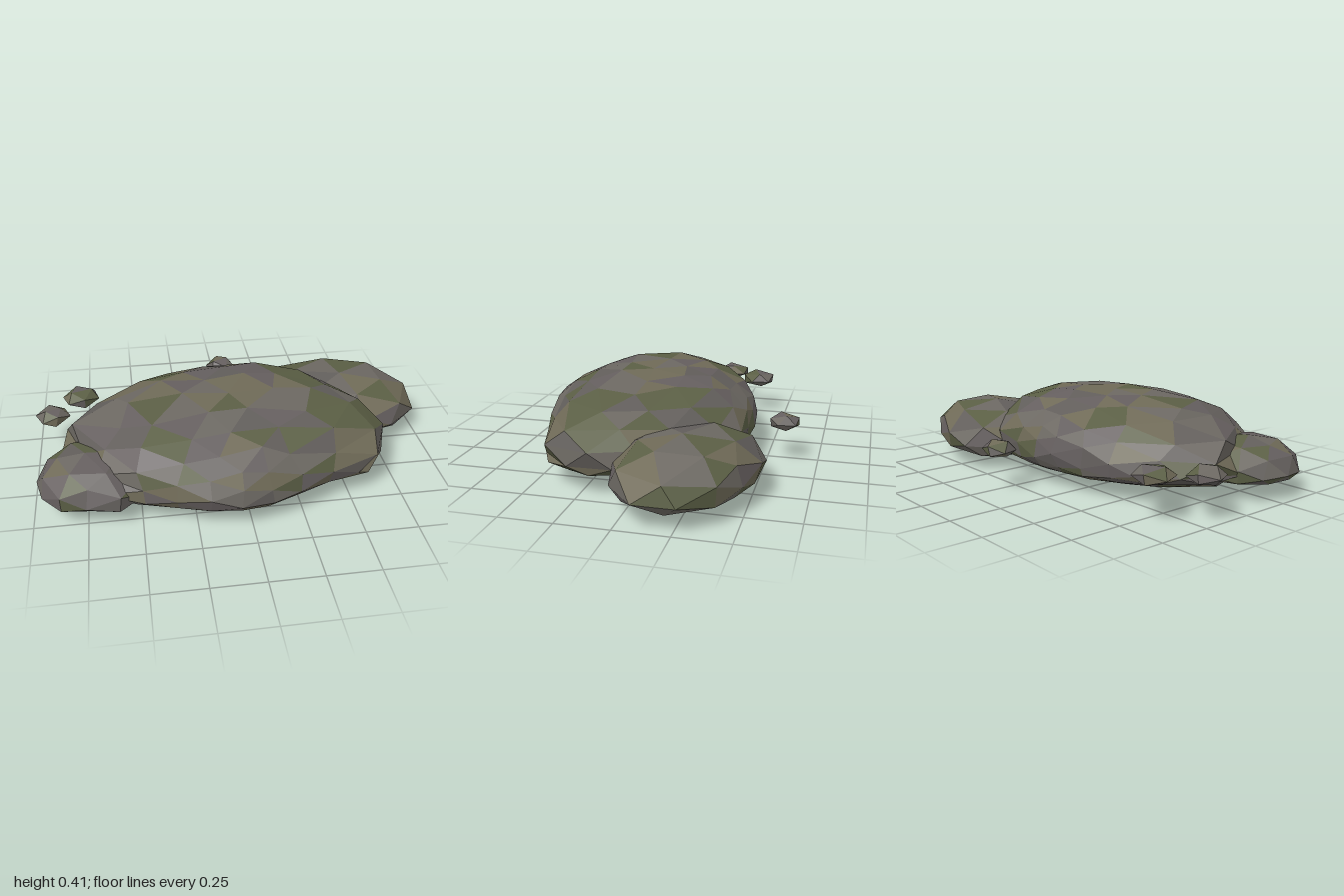
import * as THREE from 'three';

const palette = [0x6c6862, 0x625e5b, 0x655f5f, 0x6f6a57, 0x5b5f45]
  .map(color => new THREE.MeshStandardMaterial({ color, flatShading: true }));

// Repeatable noise in -1..1; equal positions always give equal values.
function noise(x, y, z, seed) {
  const q = v => Math.round(v * 1000) / 1000 + 0;
  const s = Math.sin(q(x) * 127.1 + q(y) * 311.7 + q(z) * 74.7 + seed * 19.19) * 4375.85;
  return 2 * (s - Math.floor(s)) - 1;
}

// Footprint radius at any angle, interpolated between outline points [x, z].
function footprint(outline, cx, cz) {
  const polar = outline
    .map(([x, z]) => ({ a: Math.atan2(z - cz, x - cx), r: Math.hypot(x - cx, z - cz) }))
    .sort((p, q) => p.a - q.a);
  const n = polar.length;
  return angle => {
    let i = polar.findIndex(p => p.a > angle);
    if (i < 0) i = 0;
    const p = polar[(i + n - 1) % n], q = polar[i], turn = 2 * Math.PI;
    const span = (q.a - p.a + turn) % turn;
    const t = ((angle - p.a + turn) % turn) / span;
    return p.r + (q.r - p.r) * t;
  };
}

// Faceted boulder: a sphere moulded to a footprint, a flat crown and a shallow belly.
// crown sets how boxy the top is; lean softens it towards -x and +z; spin turns the facets.
function makeRock(name, { center, outline, low, mid, high, detail, seed, crown, lean = 0, spin = 0, shift, grow }) {
  const [cx, cz] = center;
  const radius = footprint(outline, cx, cz);
  const geo = new THREE.IcosahedronGeometry(1, detail).rotateY(spin);
  geo.deleteAttribute('uv');
  const pos = geo.attributes.position;
  const d = new THREE.Vector3();
  for (let i = 0; i < pos.count; i++) {
    d.fromBufferAttribute(pos, i);
    const { x, y, z } = d;
    d.x += shift * noise(x, y, z, seed);
    d.y += shift * noise(x, y, z, seed + 1);
    d.z += shift * noise(x, y, z, seed + 2);
    d.normalize();
    const h = Math.hypot(d.x, d.z);
    const n = d.y > 0 ? crown - lean * Math.max(-d.x, d.z, 0) : 2;
    const k = Math.pow(Math.pow(h, n) + Math.pow(Math.abs(d.y), n), -1 / n);
    const bump = 1 + 0.02 * noise(x, y, z, seed + 3);
    const angle = Math.atan2(d.z, d.x);
    const r = radius(angle) * h * k * grow * bump;
    const v = d.y * k * (d.y > 0 ? (high - mid) * bump : mid - low);
    pos.setXYZ(i, cx + Math.cos(angle) * r, mid + v, cz + Math.sin(angle) * r);
  }
  geo.computeVertexNormals();
  // Mottled stone and moss tones, one per facet
  for (let i = 0; i < pos.count; i += 3) {
    const t = (noise(pos.getX(i), pos.getY(i + 1), pos.getZ(i + 2), seed + 7) + 1) / 2;
    geo.addGroup(i, 3, Math.min(4, Math.floor(t * 5)));
  }
  const mesh = new THREE.Mesh(geo, palette);
  mesh.name = name;
  return mesh;
}

export function createModel() {
  const group = new THREE.Group();
  group.name = 'rockCluster';

  // Broad central slab, sloping down towards -x and the front
  group.add(makeRock('mainRock', {
    center: [-0.05, 0.09], low: 0.003, mid: 0.135, high: 0.412, detail: 3, seed: 3,
    crown: 2.85, lean: 0.75, shift: 0.04, grow: 1.005,
    outline: [[0.74, 0.16], [0.65, 0.42], [0.4, 0.5], [0.2, 0.58], [-0.05, 0.66], [-0.3, 0.6],
      [-0.5, 0.54], [-0.69, 0.48], [-0.73, 0.3], [-0.82, 0.17], [-0.9, 0.07], [-0.84, -0.02], [-0.74, -0.17],
      [-0.6, -0.26], [-0.4, -0.35], [-0.2, -0.4], [0.04, -0.4], [0.34, -0.38], [0.5, -0.2], [0.67, 0.03]],
  }));

  // Boulder at the back, on the +x side
  group.add(makeRock('leftBoulder', {
    center: [0.62, -0.21], low: 0.02, mid: 0.12, high: 0.3, detail: 1, seed: 11,
    crown: 2.6, spin: -0.36, shift: 0.05, grow: 1.03,
    outline: [[0.2, -0.4], [0.53, -0.54], [0.63, -0.51], [0.78, -0.45], [0.97, -0.29], [0.99, -0.08],
      [0.8, 0.07], [0.67, 0.09], [0.42, 0.06], [0.25, -0.15]],
  }));

  // Smaller boulder at the front, on the -x side
  group.add(makeRock('rightBoulder', {
    center: [-0.74, 0.3], low: 0.05, mid: 0.11, high: 0.265, detail: 1, seed: 23,
    crown: 2.1, shift: 0.05, grow: 1.03,
    outline: [[-0.98, 0.34], [-0.95, 0.21], [-0.87, 0.09], [-0.68, 0.07], [-0.5, 0.2], [-0.46, 0.4],
      [-0.6, 0.56], [-0.74, 0.53], [-0.87, 0.51]],
  }));

  // Loose pebbles behind the slab
  [[0.01, -0.58, 0.078], [-0.775, -0.335, 0.09], [-0.917, -0.165, 0.083]].forEach(([x, z, r], i) => {
    const outline = [];
    for (let k = 0; k < 8; k++) {
      const a = k * Math.PI / 4 + 0.2;
      const s = r * (1 + 0.06 * noise(k, i, 0, 5));
      outline.push([x + Math.cos(a) * s, z + Math.sin(a) * s]);
    }
    group.add(makeRock('pebble' + (i + 1), {
      center: [x, z], outline, low: 0.155, mid: 0.19, high: 0.242, detail: 0, seed: 31 + i,
      crown: 2, spin: 0.3, shift: 0.15, grow: 1.08,
    }));
  });

  return group;
}
